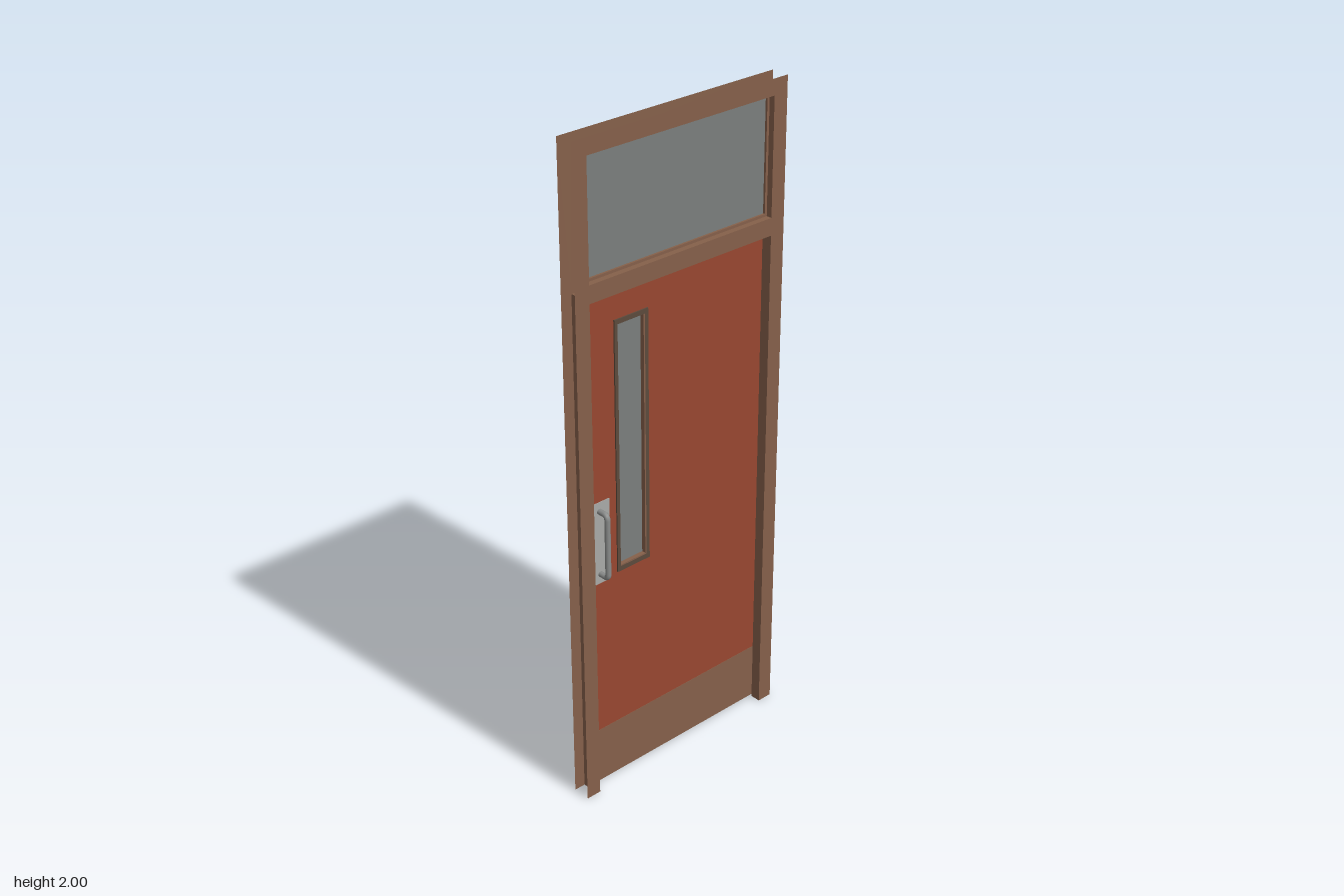
import * as THREE from 'three';

const paint = (name, color, side = THREE.FrontSide) => {
  const m = new THREE.MeshStandardMaterial({ color, side });
  m.name = name;
  return m;
};

export function createModel() {
  const wood = paint('brown wood', 0x85604a, THREE.DoubleSide);
  const red = paint('red door', 0x984730);
  const glass = paint('grey glass', 0x7a7e7d);
  const bead = paint('dark bead', 0x5c4a3c);
  const steel = paint('steel', 0xa9aaa7);
  const pull = paint('dark steel', 0x8a8c8b);

  const model = new THREE.Group();
  model.name = 'door';

  const add = (name, geometry, material, parent = model) => {
    const mesh = new THREE.Mesh(geometry, material);
    mesh.name = name;
    parent.add(mesh);
    return mesh;
  };

  // Outlines are drawn in (z, y); the shape's own x axis is -z
  const toShape = (pts, Type = THREE.Shape) => new Type(pts.map(([z, y]) => new THREE.Vector2(-z, y)));
  const rect = (z0, z1, y0, y1) => [[z0, y0], [z1, y0], [z1, y1], [z0, y1]];
  const shapeOf = (outer, holes) => {
    const s = toShape(outer);
    s.holes = holes.map((h) => toShape(h, THREE.Path));
    return s;
  };
  // Flat sheet facing x
  const sheet = (outer, holes, x) =>
    new THREE.ShapeGeometry(shapeOf(outer, holes)).rotateY(Math.PI / 2).translate(x, 0, 0);
  // Solid slab between x0 and x1
  const slab = (outer, holes, x0, x1) =>
    new THREE.ExtrudeGeometry(shapeOf(outer, holes), { depth: x1 - x0, bevelEnabled: false })
      .rotateY(Math.PI / 2).translate(x0, 0, 0);
  // Lining that sweeps an outline from x0 to x1
  const lining = (pts, x0, x1, closed) => {
    const pos = [];
    const n = closed ? pts.length : pts.length - 1;
    for (let i = 0; i < n; i++) {
      const [za, ya] = pts[i], [zb, yb] = pts[(i + 1) % pts.length];
      pos.push(x0, ya, za, x1, ya, za, x1, yb, zb, x0, ya, za, x1, yb, zb, x0, yb, zb);
    }
    const g = new THREE.BufferGeometry();
    g.setAttribute('position', new THREE.Float32BufferAttribute(pos, 3));
    g.computeVertexNormals();
    return g;
  };

  // Frame: two thin casings joined by linings around the openings
  const X_BACK = -0.009, X_STEP = 0.014, X_FRONT = 0.046;
  const H = 0.374;
  const arch = (w, h) => [[-w, 0], [-w, h], [w, h], [w, 0]];
  const casing = (w, h) => [[-H, 0], [-H, 2], [H, 2], [H, 0], ...arch(w, h).reverse()];
  const transom = rect(-0.326, 0.326, 1.608, 1.953);
  const frame = new THREE.Group();
  frame.name = 'frame';
  model.add(frame);
  const narrow = [0.326, 1.556], wide = [0.339, 1.57];
  add('frontCasing', sheet(casing(...narrow), [transom], X_FRONT), wood, frame);
  add('backCasing', sheet(casing(...wide), [transom], X_BACK), wood, frame);
  add('frontLining', lining(arch(...narrow), X_STEP, X_FRONT), wood, frame);
  add('backLining', lining(arch(...wide), X_BACK, X_STEP), wood, frame);
  add('doorStop', sheet([...arch(...wide), ...arch(...narrow).reverse()], [], X_STEP), wood, frame);

  // Transom window with a glazing stop around the pane
  add('transomLiningBack', lining(transom, X_BACK, 0.011, true), wood, frame);
  add('transomLiningFront', lining(transom, 0.028, X_FRONT, true), wood, frame);
  const paneHole = rect(-0.318, 0.318, 1.616, 1.945);
  add('transomStop', slab(transom, [paneHole], 0.011, 0.028), wood, frame);
  add('transomGlass', slab(paneHole, [], 0.0175, 0.0215), glass);

  // Door leaf with the opening for its narrow window
  const leaf = new THREE.Group();
  leaf.name = 'doorLeaf';
  model.add(leaf);
  const D0 = -0.017, D1 = 0.013;
  const opening = rect(0.108, 0.212, 0.704, 1.458);
  add('leafPanel', slab(rect(-0.336, 0.336, 0.008, 1.567), [opening], D0, D1), red, leaf);
  add('windowGlass', slab(opening, [], -0.004, 0), glass, leaf);

  // Window lining and beads, mirrored kick plates, pull plates and handles
  add('windowLining', slab(opening, [rect(0.113, 0.207, 0.711, 1.451)], D0, D1), wood, leaf);
  for (const side of [1, -1]) {
    const label = side > 0 ? 'front' : 'back';
    const face = side > 0 ? D1 : D0;
    const plate = (outer, holes, t) =>
      slab(outer, holes, Math.min(face, face + side * t), Math.max(face, face + side * t));

    add(label + 'WindowBead',
      plate(rect(0.1, 0.219, 0.695, 1.466), [rect(0.112, 0.208, 0.71, 1.452)], 0.004), bead, leaf);
    add(label + 'KickPlate', plate(rect(-0.336, 0.336, 0.008, 0.188), [], 0.0008), wood, leaf);
    add(label + 'PullPlate', plate(rect(0.245, 0.324, 0.685, 0.943), [], 0.002), steel, leaf);

    // Bent round bar with rounded corners
    const zc = 0.281, far = face + side * 0.0345, r = 0.014;
    const v = (x, y) => new THREE.Vector3(x, y, zc);
    const path = new THREE.CurvePath();
    const [lo, hi] = [0.715, 0.915];
    path.add(new THREE.LineCurve3(v(face, lo), v(far - side * r, lo)));
    path.add(new THREE.QuadraticBezierCurve3(v(far - side * r, lo), v(far, lo), v(far, lo + r)));
    path.add(new THREE.LineCurve3(v(far, lo + r), v(far, hi - r)));
    path.add(new THREE.QuadraticBezierCurve3(v(far, hi - r), v(far, hi), v(far - side * r, hi)));
    path.add(new THREE.LineCurve3(v(far - side * r, hi), v(face, hi)));
    add(label + 'Handle', new THREE.TubeGeometry(path, 72, 0.0085, 12), pull, leaf);
  }
  return model;
}
